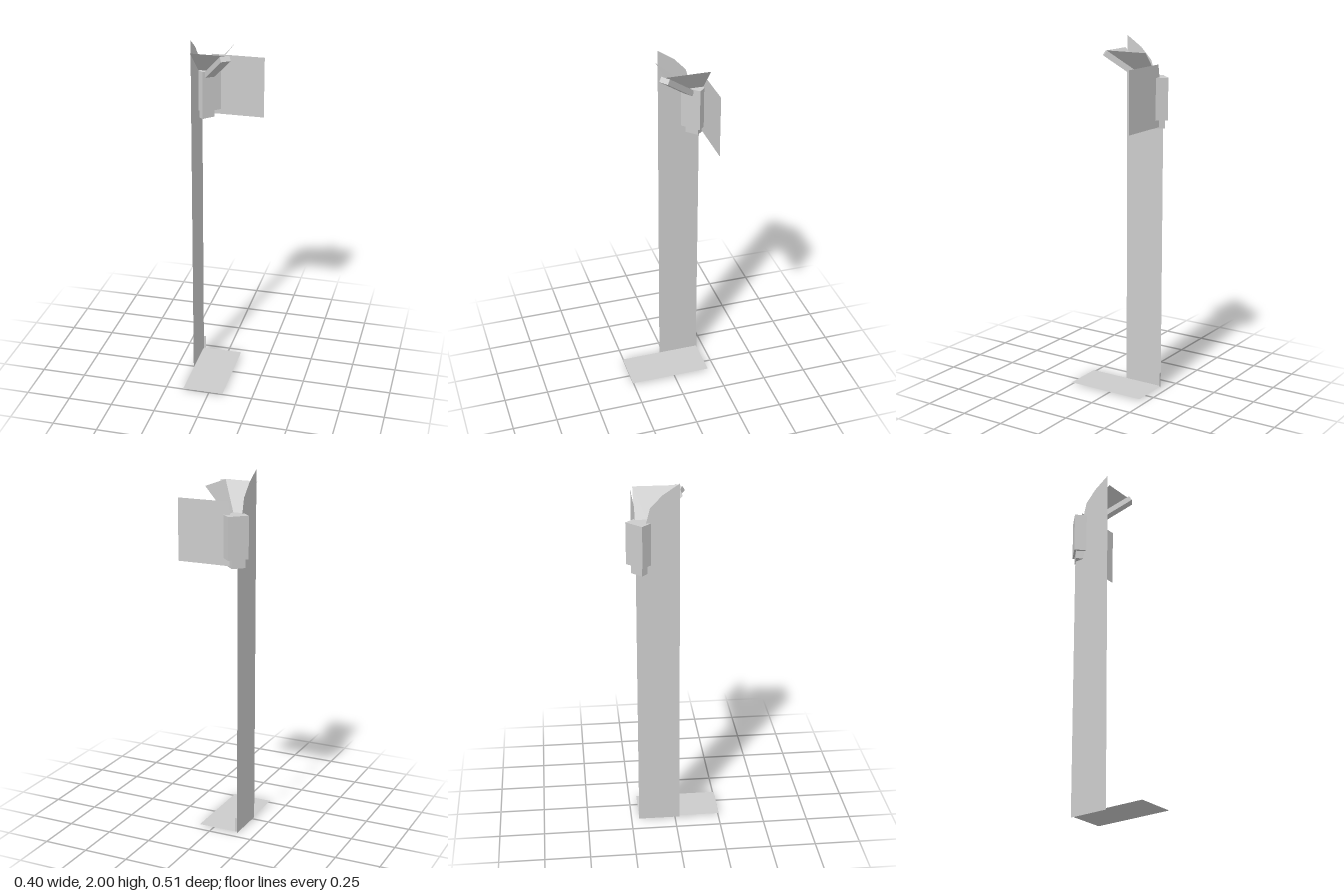
import * as THREE from 'three';

export function createModel() {
  const group = new THREE.Group();
  const solid = new THREE.MeshStandardMaterial({ color: 0xcccccc, flatShading: true });
  const sheet = new THREE.MeshStandardMaterial({ color: 0xcccccc, flatShading: true, side: THREE.DoubleSide });

  const add = (name, geometry, material) => {
    const mesh = new THREE.Mesh(geometry, material);
    mesh.name = name;
    group.add(mesh);
    return mesh;
  };
  // Flat sheet from an outline; place() maps each outline point into space
  const addSheet = (name, outline, place) => {
    const geo = new THREE.ShapeGeometry(new THREE.Shape(outline.map(([u, v]) => new THREE.Vector2(u, v))));
    const pos = geo.attributes.position;
    for (let i = 0; i < pos.count; i++) pos.setXYZ(i, ...place(pos.getX(i), pos.getY(i)));
    geo.computeVertexNormals();
    return add(name, geo, sheet);
  };

  const sideX = -0.15, backZ = -0.207;

  // Tall side wall with a stepped-down top
  addSheet('sideWall', [
    [0.025, 0], [0.025, 2], [-0.065, 1.94], [-0.13, 1.872], [-0.155, 1.775], [backZ, 1.76], [backZ, 0],
  ], (z, y) => [sideX, y, z]);

  // Wide back panel behind the post
  addSheet('backPanel', [
    [0.197, 1.52], [0.197, 1.86], [-0.095, 1.86], [-0.11, 1.77], [sideX, 1.76], [sideX, 1.52],
  ], (x, y) => [x, y, backZ]);

  // Floor plate and the small strip at its corner
  addSheet('floorPlate', [[sideX, backZ], [0.081, backZ], [0.081, 0.255], [sideX, 0.255]], (x, z) => [x, 0.008, z]);
  addSheet('cornerStrip', [[sideX, 0.008], [-0.138, 0.008], [-0.138, 0.09], [sideX, 0.09]], (x, y) => [x, y, backZ]);

  // Two sloping roof flaps that meet in a valley
  const low = new THREE.Vector3(-0.095, 1.78, -0.137);
  const high = new THREE.Vector3(0.036, 1.932, 0.038);
  const rise = (v, a, b) => low.y + (high.y - low.y) * (v - a) / (b - a);
  addSheet('frontFlap', [[sideX, low.z], [low.x, low.z], [high.x, high.z], [sideX, high.z]],
    (x, z) => [x, rise(z, low.z, high.z), z]);
  addSheet('sideFlap', [[low.x, backZ], [low.x, low.z], [high.x, high.z], [high.x, backZ]],
    (x, z) => [x, rise(x, low.x, high.x), z]);

  // Rafter carrying the valley from below
  const dir = high.clone().sub(low), length = dir.length();
  dir.normalize();
  const across = new THREE.Vector3(0, 1, 0).cross(dir).normalize();
  const up = dir.clone().cross(across);
  const rafter = add('valleyRafter', new THREE.BoxGeometry(0.055, 0.03, length), solid);
  rafter.quaternion.setFromRotationMatrix(new THREE.Matrix4().makeBasis(across, up, dir));
  rafter.position.copy(low).add(high).multiplyScalar(0.5).addScaledVector(up, -0.0155);

  // Diagonal corner block with a smaller foot
  const addBlock = (name, width, y0, y1, x, z) => {
    const block = add(name, new THREE.BoxGeometry(width, y1 - y0, width), solid);
    block.position.set(x, (y0 + y1) / 2, z);
    block.rotation.y = Math.PI / 4;
  };
  addBlock('cornerBlock', 0.114, 1.56, 1.79, -0.118, -0.175);
  addBlock('cornerBlockFoot', 0.076, 1.512, 1.56, -0.128, -0.177);

  return group;
}
